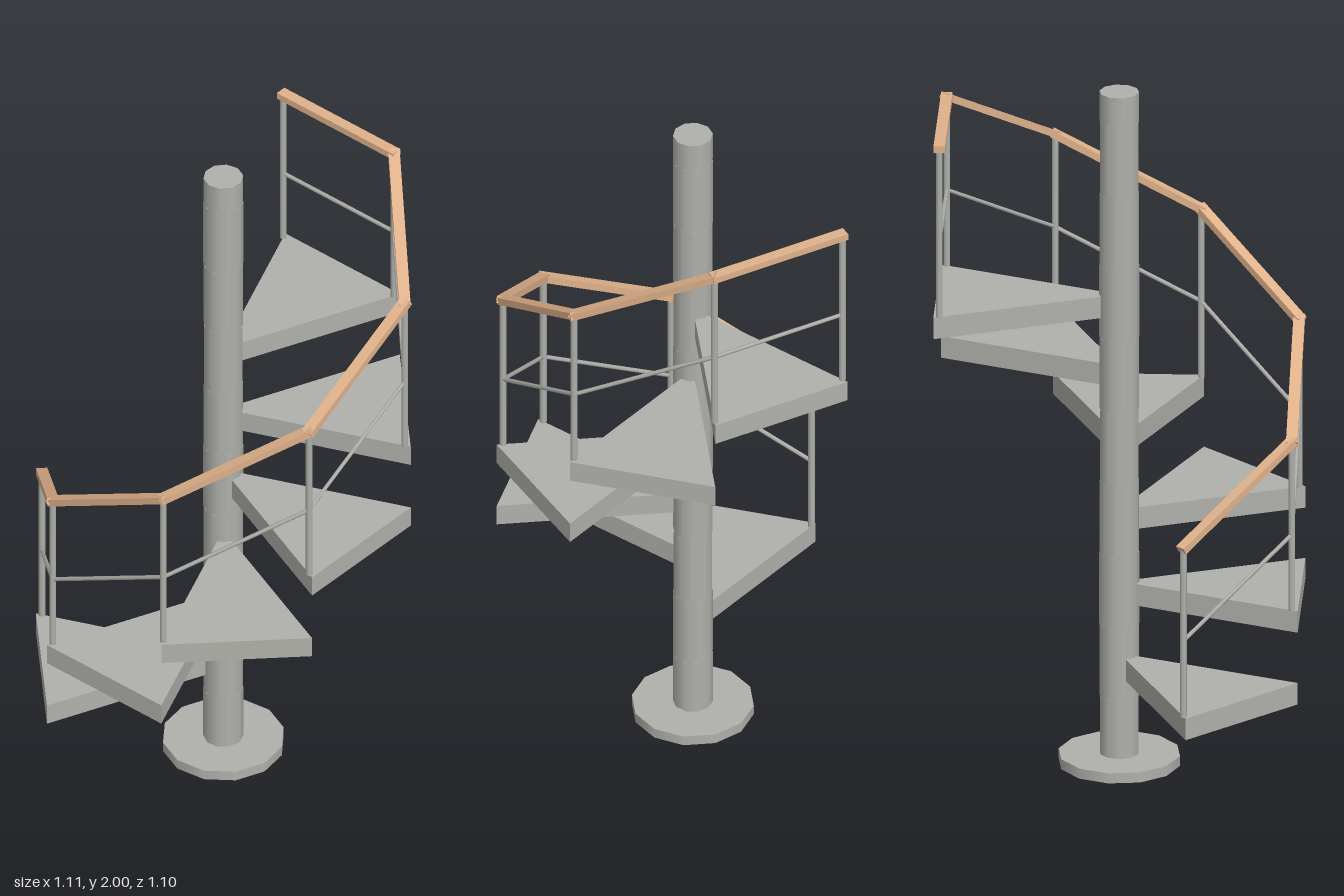
import * as THREE from 'three';

const STEPS = 6, TURN = Math.PI / 4, RISE = 0.214;
const POLE_R = 0.056, TREAD_R = 0.551, RAIL_R = 0.533;
const FIRST_TOP = 0.325, THICK = 0.064;

// Point on the spiral: starts at -x and turns through +z, +x, -z
const spiral = (i, r, y) => new THREE.Vector3(-Math.cos(i * TURN) * r, y, Math.sin(i * TURN) * r);

export function createModel() {
  const stair = new THREE.Group();
  stair.name = 'spiralStaircase';
  const steel = new THREE.MeshStandardMaterial({ name: 'grey steel', color: 0xb0b1ab });
  const wood = new THREE.MeshStandardMaterial({ name: 'light wood', color: 0xdfb18a });

  const add = (name, geometry, material) => {
    const mesh = new THREE.Mesh(geometry, material);
    mesh.name = name;
    stair.add(mesh);
    return mesh;
  };

  // Place a y-aligned bar between two points, its local z kept level
  const bar = (name, geometry, material, a, b) => {
    const mesh = add(name, geometry, material);
    const along = b.clone().sub(a).normalize();
    const up = Math.abs(along.y) > 0.99 ? new THREE.Vector3(1, 0, 0) : new THREE.Vector3(0, 1, 0);
    const level = new THREE.Vector3().crossVectors(up, along).normalize();
    const side = new THREE.Vector3().crossVectors(along, level);
    mesh.quaternion.setFromRotationMatrix(new THREE.Matrix4().makeBasis(side, along, level));
    mesh.position.copy(a).add(b).multiplyScalar(0.5);
    return mesh;
  };

  // Base plate
  add('basePlate', new THREE.CylinderGeometry(0.172, 0.172, 0.03, 12), steel).position.y = 0.015;

  // Centre pole in stacked sections, each turned with its step
  for (let i = 0, y = 0.03; y < 1.99; i++) {
    const top = Math.min(0.2 + i * RISE, 2);
    const section = add('poleSection', new THREE.CylinderGeometry(POLE_R, POLE_R, top - y, 10), steel);
    section.position.y = (y + top) / 2;
    section.rotation.y = i * TURN;
    y = top;
  }

  // Wedge-shaped treads
  for (let i = 0; i < STEPS; i++) {
    const corners = [spiral(i, 0.055, 0), spiral(i, TREAD_R, 0), spiral(i + 1, TREAD_R, 0), spiral(i + 1, 0.055, 0)];
    const outline = new THREE.Shape(corners.map(p => new THREE.Vector2(p.x, -p.z)));
    const geometry = new THREE.ExtrudeGeometry(outline, { depth: THICK, bevelEnabled: false });
    geometry.rotateX(-Math.PI / 2);
    add('tread', geometry, steel).position.y = FIRST_TOP - THICK + i * RISE;
  }

  // Posts, with the handrail and middle rail running between them
  const level = i => Math.min(i, STEPS - 1) * RISE;
  for (let i = 0; i <= STEPS; i++) {
    const foot = spiral(i, RAIL_R, FIRST_TOP + level(i));
    const head = spiral(i, RAIL_R, 0.828 + level(i));
    bar('post', new THREE.CylinderGeometry(0.01, 0.01, head.y - foot.y, 8), steel, foot, head);
    if (i === STEPS) break;

    const next = spiral(i + 1, RAIL_R, 0.828 + level(i + 1));
    const length = head.distanceTo(next);
    bar('handrail', new THREE.BoxGeometry(0.02, length + 0.02, 0.032), wood, head, next);

    const drop = new THREE.Vector3(0, -0.277, 0);
    bar('middleRail', new THREE.CylinderGeometry(0.006, 0.006, length, 6), steel,
      head.clone().add(drop), next.clone().add(drop));
  }
  return stair;
}
